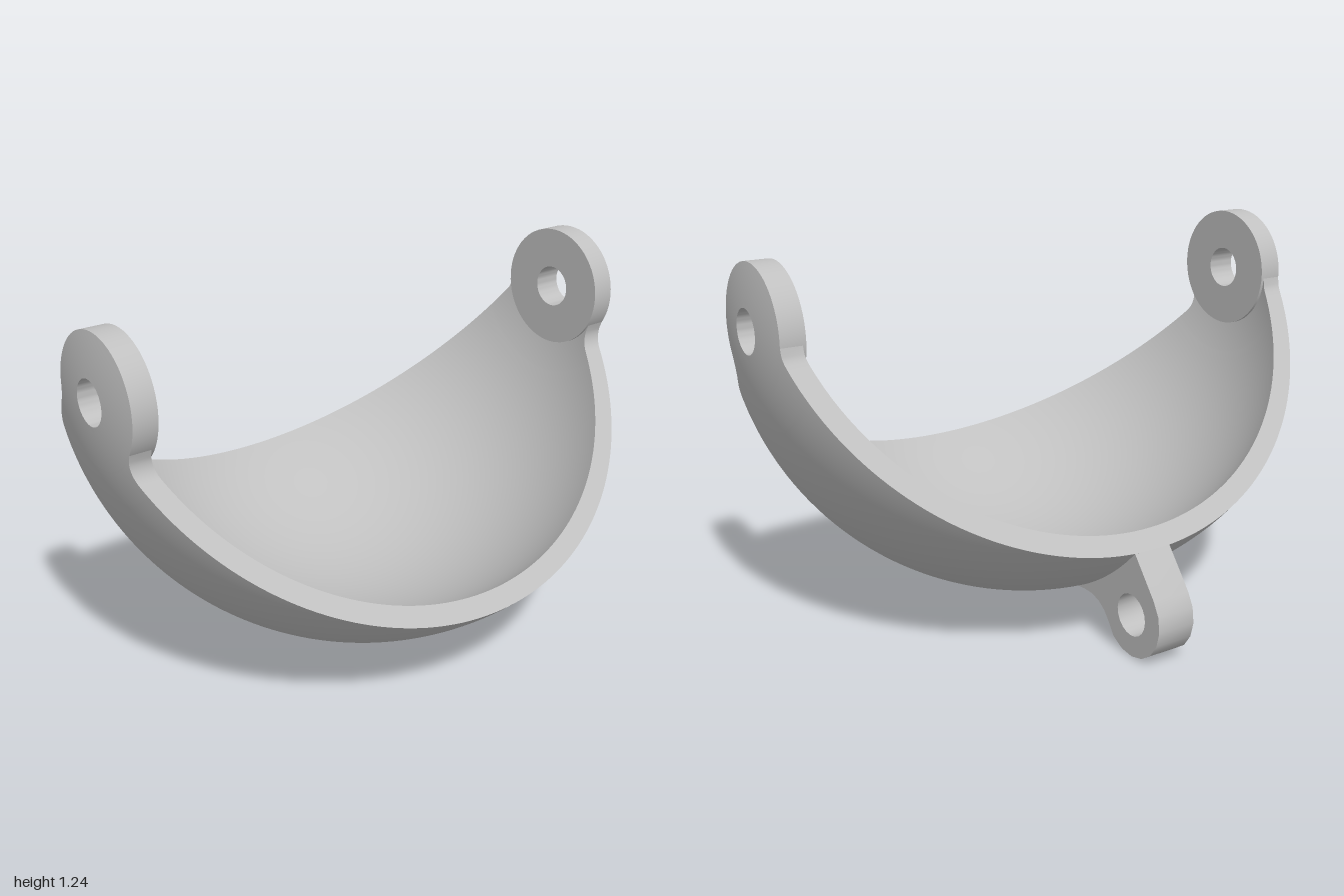
import * as THREE from 'three';
import { toCreasedNormals } from 'three/addons/utils/BufferGeometryUtils.js';

const CY = 1.035, CZ = 0.08;            // pivot and sphere centre
const R_OUT = 1, R_IN = 0.93;           // shell radii
const EAR = 0.21, HOLE = 0.072, EAR_X = 0.895, FILLET = 0.08;
const rad = THREE.MathUtils.degToRad;
const FRONT = { angle: rad(43.7), offset: 0 };
const REAR = { angle: rad(38.9), offset: 0.138 };

// Angle (from straight down) of a cut edge at distance r from the pivot axis
function edgeAngle({ angle, offset }, r) {
  const c = EAR + FILLET;
  const tangentR = Math.hypot(Math.sqrt(c * c - (offset + FILLET) ** 2), offset);
  if (r >= tangentR) return angle + Math.asin(offset / r);
  const k = (c * c + r * r - FILLET * FILLET) / (2 * c * r);
  return angle + Math.asin((offset + FILLET) / c) - Math.acos(Math.min(1, k));
}

// Rows run from the left ear round the bowl to the right ear
const FILLET_ROWS = 14, BOWL_ROWS = 40, HALF = FILLET_ROWS + BOWL_ROWS;
function rowAt(i, R) {
  const side = i <= HALF ? 1 : -1;
  const k = i <= HALF ? i : 2 * HALF - i;
  const r0 = EAR - 0.001, r1 = 0.32;
  if (k <= FILLET_ROWS) {
    const r = r0 + (r1 - r0) * k / FILLET_ROWS;
    return { r, x: side * Math.sqrt(R * R - r * r) };
  }
  const start = Math.asin(r1 / R);
  const phi = start + (Math.PI / 2 - start) * (k - FILLET_ROWS) / BOWL_ROWS;
  return { r: R * Math.sin(phi), x: side * R * Math.cos(phi) };
}

// t = 0 at the rear cut, 1 at the front cut
function shellPoint(i, t, R) {
  const { r, x } = rowAt(i, R);
  const a = THREE.MathUtils.lerp(-edgeAngle(REAR, r), edgeAngle(FRONT, r), t);
  return [x, CY - r * Math.cos(a), CZ + r * Math.sin(a)];
}

function grid(rows, cols, point, flip) {
  const pos = [], index = [];
  for (let i = 0; i <= rows; i++)
    for (let j = 0; j <= cols; j++) pos.push(...point(i, j / cols));
  for (let i = 0; i < rows; i++)
    for (let j = 0; j < cols; j++) {
      const a = i * (cols + 1) + j, b = a + cols + 1;
      if (flip) index.push(a, a + 1, b, b, a + 1, b + 1);
      else index.push(a, b, a + 1, b, b + 1, a + 1);
    }
  const g = new THREE.BufferGeometry();
  g.setAttribute('position', new THREE.Float32BufferAttribute(pos, 3));
  g.setIndex(index);
  g.computeVertexNormals();
  return g;
}

// Pierced round ear: flat inside, following the sphere outside
function earGeometry() {
  const pts = [[HOLE, EAR_X], [EAR, EAR_X]];
  for (let i = 0; i <= 8; i++) {
    const r = EAR + (HOLE - EAR) * i / 8;
    pts.push([r, Math.sqrt(R_OUT * R_OUT - r * r)]);
  }
  pts.push([HOLE, EAR_X]);
  const lathe = new THREE.LatheGeometry(pts.map(p => new THREE.Vector2(...p)), 64);
  return toCreasedNormals(lathe, rad(35));
}

// Rear lug, drawn in (z, y) and extruded across x
function lugGeometry() {
  const cz = -0.635, cy = 0.141, r = 0.141;
  const onShell = (a, R) => new THREE.Vector2(CZ - R * Math.sin(a), CY - R * Math.cos(a));
  const pts = [onShell(edgeAngle(REAR, 0.995), 0.995)];
  for (let i = 0; i <= 8; i++) {
    const a = rad(141.1 + (309 - 141.1) * i / 8);
    pts.push(new THREE.Vector2(cz + r * Math.cos(a), cy + r * Math.sin(a)));
  }
  // concave blend up to the bowl
  for (const p of [[-0.518, 0.073], [-0.493, 0.103], [-0.463, 0.124], [-0.425, 0.136], [-0.385, 0.137]])
    pts.push(new THREE.Vector2(...p));
  pts.push(onShell(rad(25.7), 0.999));
  for (let i = 0; i <= 6; i++) pts.push(onShell(rad(27 + 19 * i / 6), 0.97));
  const shape = new THREE.Shape(pts);
  shape.holes.push(new THREE.Path().absarc(cz, cy, 0.07, 0, Math.PI * 2, true));
  const g = new THREE.ExtrudeGeometry(shape, { depth: 0.136, bevelEnabled: false, curveSegments: 10 });
  g.rotateY(-Math.PI / 2);
  g.translate(0.068, 0, 0);
  return toCreasedNormals(g, rad(30));
}

export function createModel() {
  const model = new THREE.Group();
  model.name = 'pivotingBowl';
  const grey = new THREE.MeshStandardMaterial({ color: 0xc0c0c0 });
  grey.name = 'light grey';
  const add = (name, geometry) => {
    const mesh = new THREE.Mesh(geometry, grey);
    mesh.name = name;
    model.add(mesh);
    return mesh;
  };

  // Bowl shell
  const rows = 2 * HALF;
  add('bowlOutside', grid(rows, 64, (i, t) => shellPoint(i, t, R_OUT), true));
  add('bowlInside', grid(rows, 64, (i, t) => shellPoint(i, t, R_IN), false));
  const rim = t => (i, s) => {
    const a = shellPoint(i, t, R_OUT), b = shellPoint(i, t, R_IN);
    return a.map((v, k) => v + (b[k] - v) * s);
  };
  add('frontRim', grid(rows, 1, rim(1), true));
  add('rearRim', grid(rows, 1, rim(0), false));

  // Pivot ears
  const ear = earGeometry();
  for (const side of [1, -1]) {
    const mesh = add(side > 0 ? 'leftEar' : 'rightEar', ear);
    mesh.rotation.z = -side * Math.PI / 2;
    mesh.position.set(0, CY, CZ);
  }

  add('rearLug', lugGeometry());
  return model;
}
